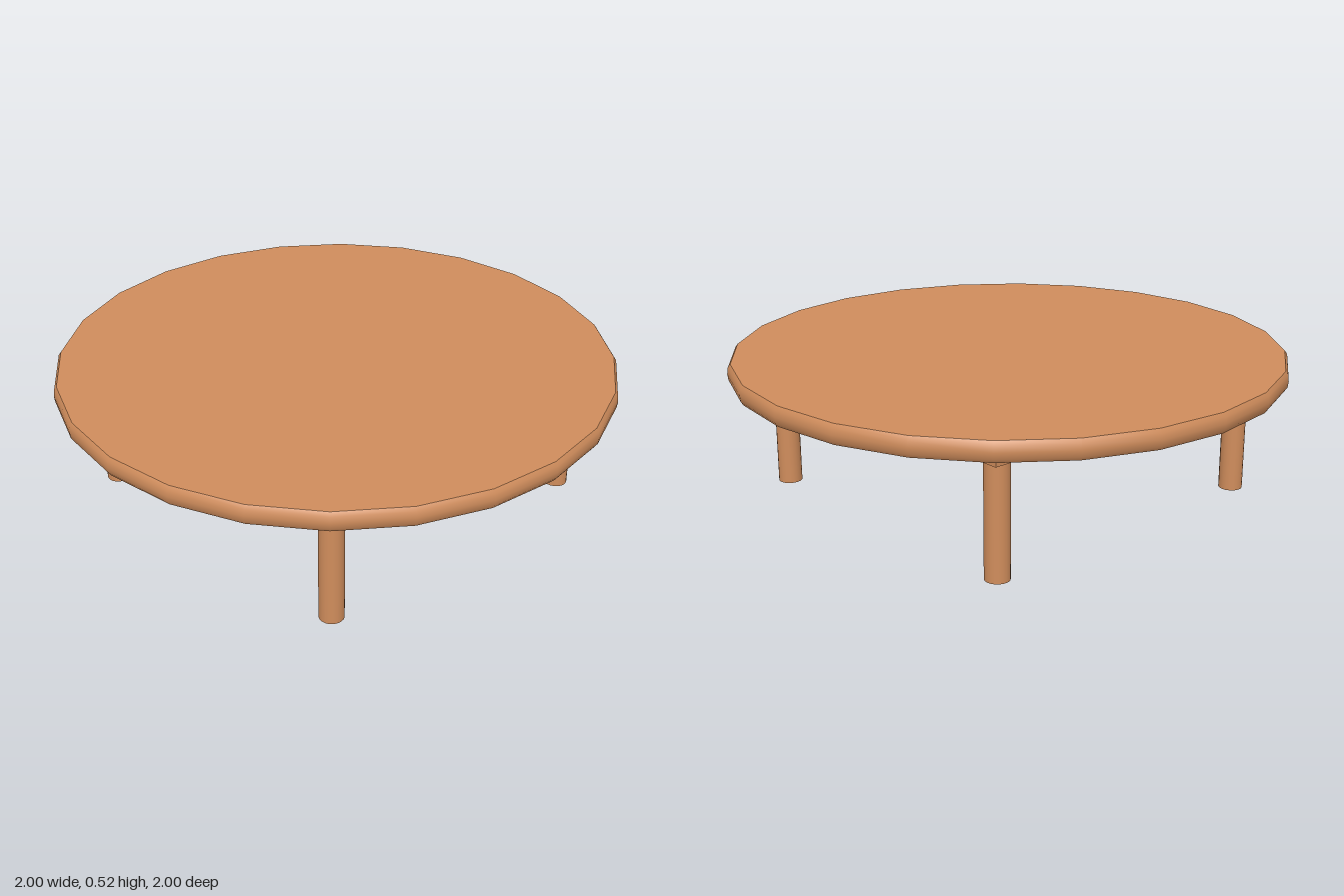
import * as THREE from 'three';
import { toCreasedNormals } from 'three/addons/utils/BufferGeometryUtils.js';

const wood = new THREE.MeshStandardMaterial({ color: 0xd08d5c });

const TOP_Y = 0.525, TOP_BOTTOM = 0.455, FRAME_BOTTOM = 0.403;
const FRAME_OUTER = 0.63, FRAME_INNER = 0.53, LEG_OFFSET = 0.58, LEG_RADIUS = 0.043;

function add(parent, name, geometry, x = 0, y = 0, z = 0) {
  const mesh = new THREE.Mesh(geometry, wood);
  mesh.name = name;
  mesh.position.set(x, y, z);
  parent.add(mesh);
  return mesh;
}

// Square outline of the given half width
function square(Type, h) {
  const path = new Type();
  path.moveTo(-h, -h).lineTo(h, -h).lineTo(h, h).lineTo(-h, h).closePath();
  return path;
}

export function createModel() {
  const table = new THREE.Group();
  table.name = 'roundTable';

  // Round tabletop: 24 sides with a softly bulging rim
  const profile = [
    [0, TOP_BOTTOM], [0.988, TOP_BOTTOM], [0.997, 0.468], [1, 0.49],
    [0.997, 0.512], [0.988, TOP_Y], [0, TOP_Y],
  ].map(([r, y]) => new THREE.Vector2(r, y));
  add(table, 'tabletop', toCreasedNormals(new THREE.LatheGeometry(profile, 24), 0.6));

  // Square frame of four rails under the top
  const outline = square(THREE.Shape, FRAME_OUTER);
  outline.holes.push(square(THREE.Path, FRAME_INNER));
  const frame = new THREE.ExtrudeGeometry(outline, {
    depth: TOP_BOTTOM - FRAME_BOTTOM, bevelEnabled: false,
  });
  frame.rotateX(-Math.PI / 2);
  add(table, 'frame', frame, 0, FRAME_BOTTOM, 0);

  // Round legs at the frame corners
  const leg = new THREE.CylinderGeometry(LEG_RADIUS, LEG_RADIUS, FRAME_BOTTOM, 20);
  for (const [side, x] of [['Left', 1], ['Right', -1]]) {
    for (const [end, z] of [['front', 1], ['back', -1]]) {
      add(table, `${end}${side}Leg`, leg, x * LEG_OFFSET, FRAME_BOTTOM / 2, z * LEG_OFFSET);
    }
  }
  return table;
}
